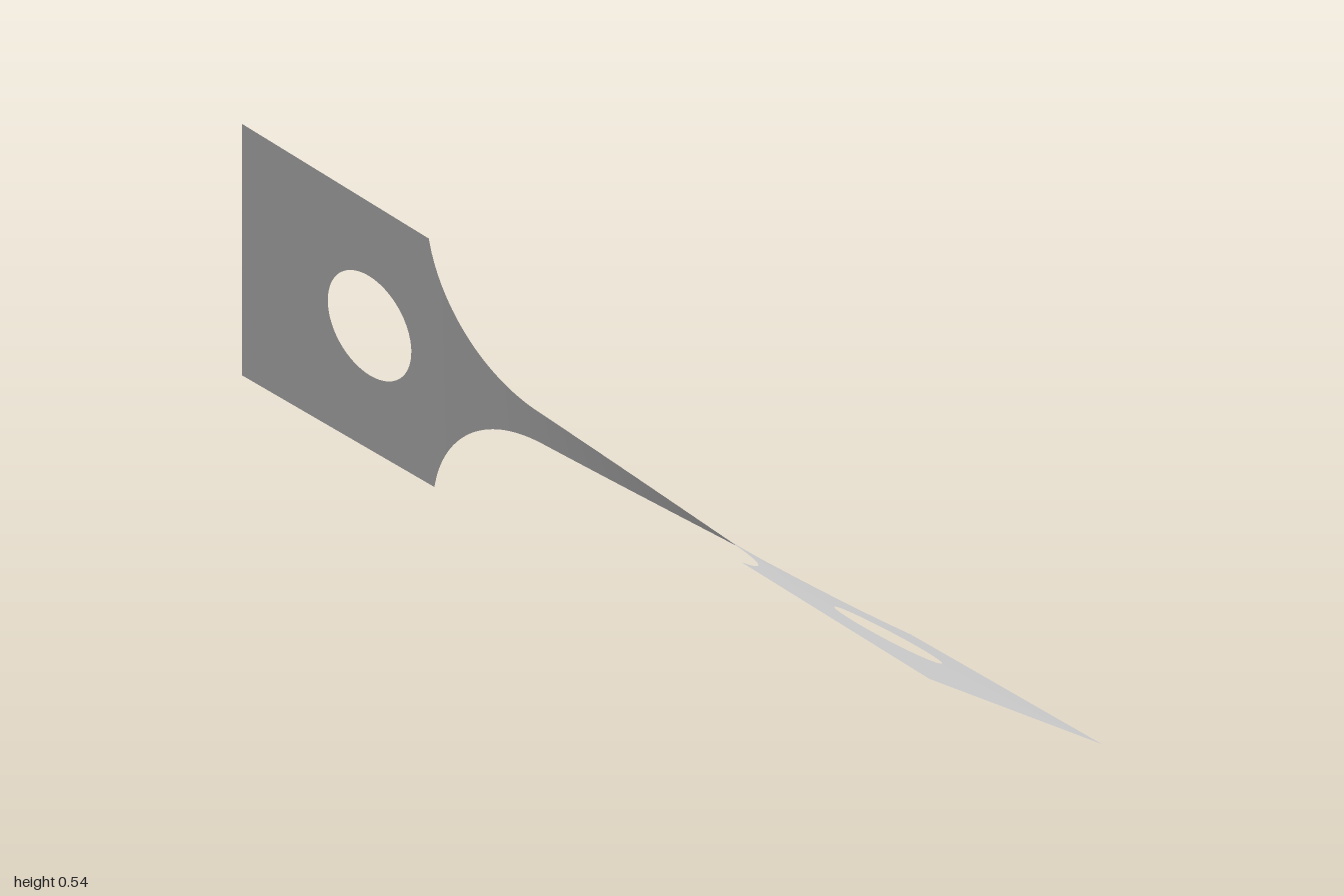
import * as THREE from 'three';

const MID = 0.2705, HALF = 0.27, NECK = 0.039;       // axis height, plate and neck half widths
const EDGE = 0.51, FILLET_X = 0.23, FILLET_R = 0.285; // plate inner edge, fillet centre and radius
const HOLE_X = 0.67, HOLE_R = 0.108;
const TOTAL_TWIST = THREE.MathUtils.degToRad(51.3);

// half width of the flat strip at x
function halfWidth(x) {
  const d = Math.abs(x) - FILLET_X;
  if (d <= 0) return NECK;
  if (Math.abs(x) >= EDGE) return HALF;
  return Math.min(HALF, NECK + FILLET_R - Math.sqrt(FILLET_R ** 2 - d * d));
}

// twist accumulates faster where the strip is narrower
const STEPS = 800;
const table = [0];
for (let i = 0; i < STEPS; i++) {
  const x = -1 + (2 * (i + 0.5)) / STEPS;
  table.push(table[i] + Math.pow(NECK / halfWidth(x), 1.63));
}
function twistAt(x) {
  const t = THREE.MathUtils.clamp(((x + 1) / 2) * STEPS, 0, STEPS);
  const i = Math.min(Math.floor(t), STEPS - 1);
  return (TOTAL_TWIST * THREE.MathUtils.lerp(table[i], table[i + 1], t - i)) / table[STEPS];
}

// grid surface from a rule giving flat (x, v), then twisted about the long axis
function twistedSheet(nu, nv, rule) {
  const pos = [], index = [];
  for (let i = 0; i <= nu; i++) {
    for (let j = 0; j <= nv; j++) {
      const [x, v] = rule(i / nu, j / nv);
      const a = twistAt(x);
      pos.push(x, MID + v * Math.cos(a), v * Math.sin(a));
      if (i < nu && j < nv) {
        const p = i * (nv + 1) + j, q = p + nv + 1;
        index.push(p, q, q + 1, p, q + 1, p + 1);
      }
    }
  }
  const g = new THREE.BufferGeometry();
  g.setAttribute('position', new THREE.Float32BufferAttribute(pos, 3));
  g.setIndex(index);
  g.computeVertexNormals();
  return g;
}

// rectangular end plate with a round hole: rings running from the rim to the hole
function endPlate(side) {
  const x0 = side < 0 ? -1 : EDGE, x1 = side < 0 ? -EDGE : 1;
  const corners = [[x0, -HALF], [x1, -HALF], [x1, HALF], [x0, HALF]];
  const cx = side * HOLE_X;
  return twistedSheet(80, 8, (s, t) => {
    const k = Math.floor(s * 4 + 1e-9) % 4, f = s * 4 - Math.floor(s * 4 + 1e-9);
    const a = corners[k], b = corners[(k + 1) % 4];
    const rx = THREE.MathUtils.lerp(a[0], b[0], f), rv = THREE.MathUtils.lerp(a[1], b[1], f);
    const ang = Math.atan2(rv, rx - cx);
    return [
      THREE.MathUtils.lerp(rx, cx + HOLE_R * Math.cos(ang), t),
      THREE.MathUtils.lerp(rv, HOLE_R * Math.sin(ang), t),
    ];
  });
}

export function createModel() {
  const group = new THREE.Group();
  group.name = 'twistedStrip';
  const steel = new THREE.MeshStandardMaterial({ color: 0xcccccc, side: THREE.DoubleSide });
  steel.name = 'light grey';
  const add = (name, geometry) => {
    const mesh = new THREE.Mesh(geometry, steel);
    mesh.name = name;
    group.add(mesh);
  };

  add('rightEndPlate', endPlate(-1));
  add('leftEndPlate', endPlate(1));
  // narrow neck with its curved shoulders
  add('twistedNeck', twistedSheet(140, 12, (s, t) => {
    const x = EDGE * (2 * s - 1);
    return [x, halfWidth(x) * (2 * t - 1)];
  }));
  return group;
}
